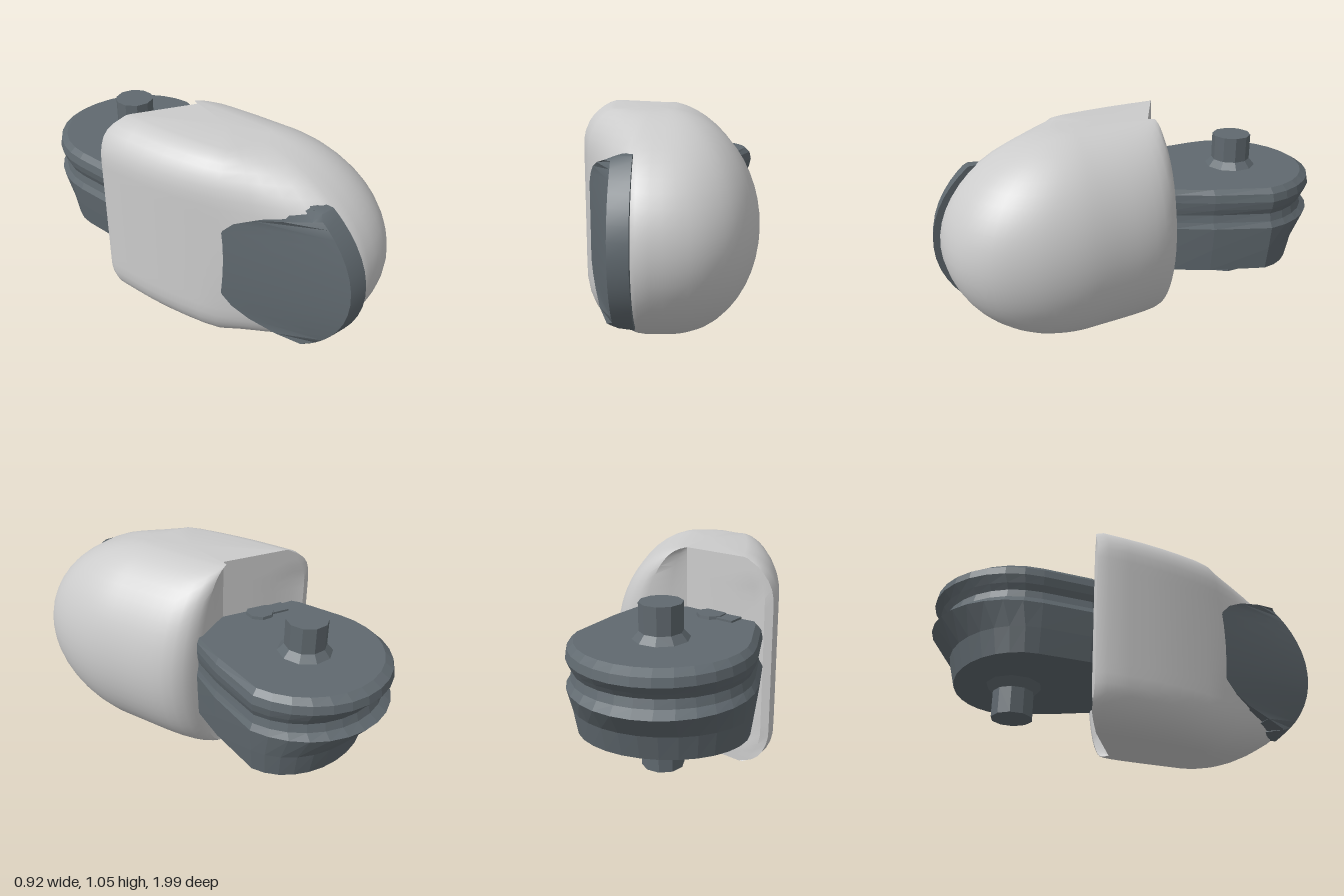
import * as THREE from 'three';
import { toCreasedNormals } from 'three/addons/utils/BufferGeometryUtils.js';

const MID = 0.53; // mid height of the shell

// Skins a stack of rings (each a loop of [x, y, z]) and closes both ends
function loft(rings) {
  const n = rings[0].length;
  const pos = rings.flat(2);
  const idx = [];
  for (let r = 0; r < rings.length - 1; r++) {
    for (let i = 0; i < n; i++) {
      const j = (i + 1) % n;
      const a = r * n + i, b = r * n + j, c = b + n, d = a + n;
      idx.push(a, b, c, a, c, d);
    }
  }
  [0, rings.length - 1].forEach((r) => {
    const centre = [0, 1, 2].map((k) => rings[r].reduce((s, p) => s + p[k], 0) / n);
    const ci = pos.length / 3;
    pos.push(...centre);
    for (let i = 0; i < n; i++) {
      const a = r * n + i, b = r * n + ((i + 1) % n);
      if (r === 0) idx.push(ci, b, a);
      else idx.push(ci, a, b);
    }
  });
  const geo = new THREE.BufferGeometry();
  geo.setAttribute('position', new THREE.Float32BufferAttribute(pos, 3));
  geo.setIndex(idx);
  geo.computeVertexNormals();
  return geo;
}

// Smooth run through [x, z] points
function smooth(points, count) {
  const curve = new THREE.CatmullRomCurve3(points.map(([x, z]) => new THREE.Vector3(x, 0, z)));
  return curve.getSpacedPoints(count).map((p) => [p.x, p.z]);
}

// Rounded shell: plan outline that shrinks towards top and bottom
function shellGeometry() {
  const outline = [
    ...smooth([[-0.46, -0.28], [-0.45, -0.05], [-0.42, 0.15], [-0.37, 0.36]], 6),
    ...smooth([[-0.3, 0.55], [-0.22, 0.77], [-0.14, 0.94]], 4),
    ...smooth([[-0.1, 0.965], [0.03, 0.965], [0.17, 0.93], [0.3, 0.83], [0.39, 0.66], [0.43, 0.45],
      [0.42, 0.22], [0.4, 0.05], [0.37, -0.05], [0.31, -0.11], [0.23, -0.13]], 28),
    [0.1, -0.11], [0, -0.1], [-0.12, -0.17], [-0.24, -0.24], [-0.35, -0.29], [-0.4, -0.33], [-0.44, -0.33],
  ];
  const rings = [];
  const steps = 26;
  for (let k = 0; k <= steps; k++) {
    const t = 0.997 * Math.sin((k / steps - 0.5) * Math.PI);
    const round = Math.sqrt(1 - t * t);
    const s = Math.max(0, (Math.abs(t) - 0.62) / 0.38);
    const corner = 1 - 0.42 * (1 - Math.sqrt(1 - s * s));
    rings.push(outline.map(([x, z]) => {
      const nx = x > 0 ? x * round : x * corner;
      const nz = z > 0.3 ? 0.3 + (z - 0.3) * round : z;
      const back = nx < 0 ? Math.max(-0.33, -0.1 + nx * 0.575) : -0.13;
      return [nx, MID + t * 0.527, Math.max(nz, back)];
    }));
  }
  return toCreasedNormals(loft(rings), 0.6);
}

// Slanted plate set into the front corner of the shell
function plateGeometry() {
  const rings = [];
  const steps = 18;
  for (let k = 0; k <= steps; k++) {
    const s = 0.995 * Math.sin((k / steps - 0.5) * Math.PI);
    const t = (s * 0.38) / 0.53;
    const y = MID + s * 0.38;
    const x0 = -0.12 - 0.25 * Math.sqrt(1 - s ** 4);
    const front = 0.3 + 0.695 * Math.sqrt(1 - t * t);
    const back = Math.min(0.35 + (x0 + 0.37) * 3.6, front - 0.05);
    rings.push([
      [x0, y, back],
      [Math.max(x0, -0.21), y, front - 0.02],
      [-0.12, y, front],
      [-0.12, y, front - 0.22],
    ]);
  }
  return toCreasedNormals(loft(rings), 0.5);
}

// Teardrop hinge block with a grooved rim and a narrower lower half
function hingeGeometry() {
  const cx = 0.03, cz = -0.57;
  const outline = [[0.2, -0.05], [0.25, -0.12], [0.35, -0.3]];
  for (let i = 0; i <= 15; i++) {
    const a = (i / 15) * Math.PI;
    outline.push([cx + 0.43 * Math.cos(a), cz - 0.43 * Math.sin(a)]);
  }
  outline.push([-0.4, -0.33], [-0.36, -0.2], [-0.2, -0.1]);
  // height, width scale, rear depth scale
  const levels = [
    [0.31, 0.93, 0.7], [0.43, 0.97, 0.77], [0.55, 1, 1], [0.58, 0.96, 0.9], [0.62, 0.94, 0.87],
    [0.65, 0.97, 0.92], [0.69, 0.99, 1], [0.73, 0.97, 0.98], [0.755, 0.91, 0.88],
  ];
  return loft(levels.map(([y, sx, sz]) => outline.map(([x, z]) => [
    cx + (x - cx) * sx, y, z < cz ? cz + (z - cz) * sz : z,
  ])));
}

export function createModel() {
  const group = new THREE.Group();
  const grey = new THREE.MeshStandardMaterial({ color: 0xcccccc });
  const dark = new THREE.MeshStandardMaterial({ color: 0x60696f });
  const darkFlat = new THREE.MeshStandardMaterial({ color: 0x60696f, flatShading: true });

  const add = (name, geo, mat) => {
    const mesh = new THREE.Mesh(geo, mat);
    mesh.name = name;
    group.add(mesh);
    return mesh;
  };

  add('shell', shellGeometry(), grey);
  add('frontPlate', plateGeometry(), dark);
  add('hingeBlock', hingeGeometry(), darkFlat);

  // Pivot pin through the hinge, flared where it meets the block
  const pin = [[0, 0.14], [0.1, 0.14], [0.1, 0.27], [0.135, 0.31], [0.135, 0.75], [0.1, 0.79], [0.1, 0.92], [0, 0.92]];
  add('pivotPin', new THREE.LatheGeometry(pin.map(([r, y]) => new THREE.Vector2(r, y)), 10), darkFlat)
    .position.set(0.03, 0, -0.585);

  // Low stud and its tab on top of the hinge
  add('stud', new THREE.CylinderGeometry(0.07, 0.08, 0.06, 8), darkFlat).position.set(-0.14, 0.74, -0.23);
  const tab = add('studTab', new THREE.BoxGeometry(0.14, 0.04, 0.09), darkFlat);
  tab.position.set(-0.21, 0.745, -0.26);
  tab.rotation.y = -0.5;

  return group;
}
